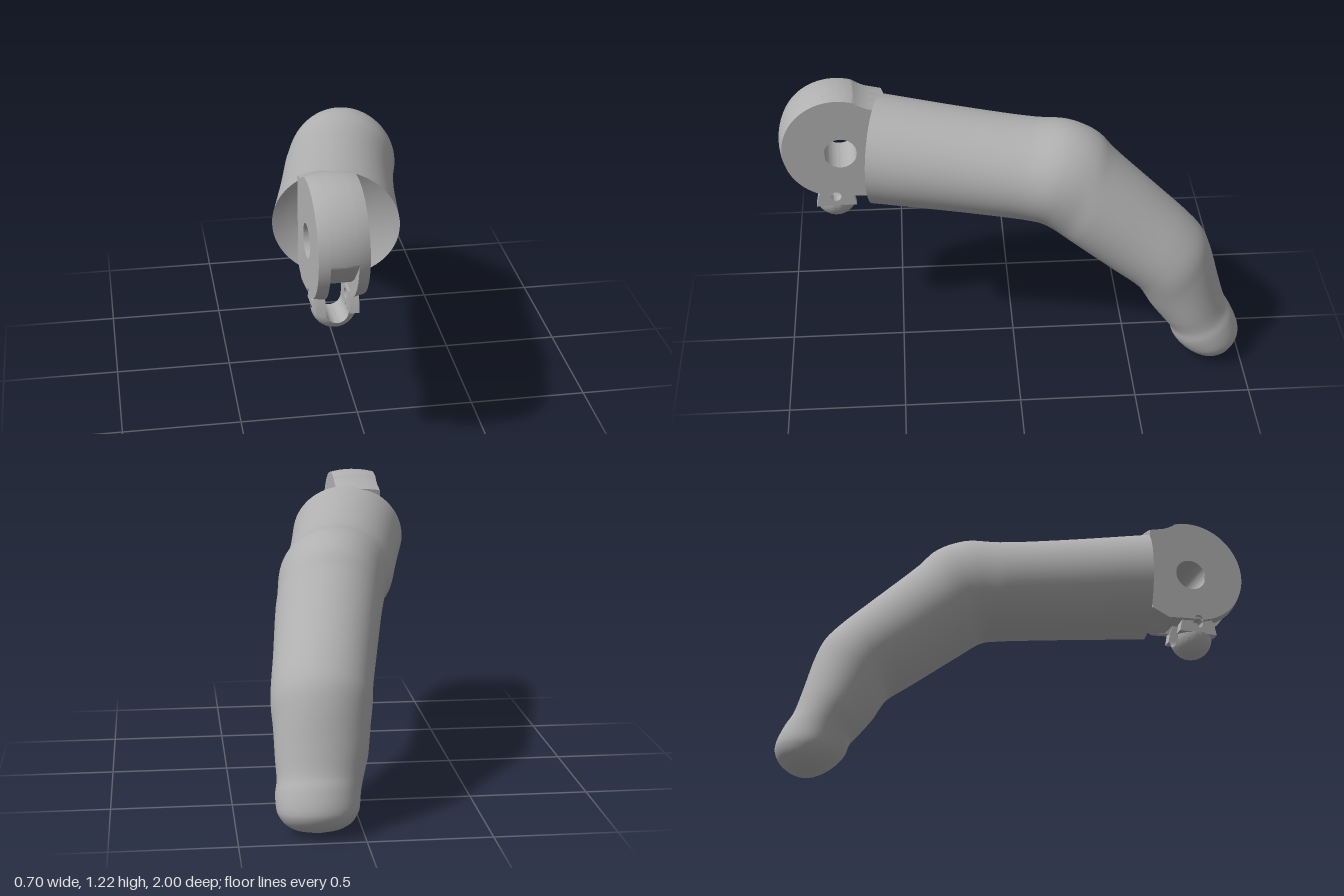
import * as THREE from 'three';
import { toCreasedNormals } from 'three/addons/utils/BufferGeometryUtils.js';

const SEG = 64;

// Surface through rings of points; every ring has SEG points
function loft(rings) {
  const pos = rings.flat().flatMap((p) => [p.x, p.y, p.z]);
  const index = [];
  for (let r = 0; r < rings.length - 1; r++) {
    for (let i = 0; i < SEG; i++) {
      const j = (i + 1) % SEG, a = r * SEG, b = a + SEG;
      index.push(a + i, a + j, b + j, a + i, b + j, b + i);
    }
  }
  const g = new THREE.BufferGeometry();
  g.setAttribute('position', new THREE.Float32BufferAttribute(pos, 3));
  g.setIndex(index);
  g.computeVertexNormals();
  return g;
}

// Ellipse between a top and a bottom point, w = (centre x, half width, yaw shear)
function ring(top, bottom, w, scale = 1, push = 0) {
  const mid = top.clone().add(bottom).multiplyScalar(0.5);
  const up = top.clone().sub(mid);
  return Array.from({ length: SEG }, (_, i) => {
    const a = (i / SEG) * Math.PI * 2;
    const c = Math.cos(a) * scale, dx = Math.sin(a) * w.y * scale;
    return new THREE.Vector3(w.x + dx, mid.y + up.y * c, mid.z + up.z * c + w.z * dx + push);
  });
}

// Side profile (z, y) extruded across x, centred on x
function sidePlate(shape, width, x, barrel) {
  const g = new THREE.ExtrudeGeometry(shape, { depth: width, steps: 4, bevelEnabled: false, curveSegments: 40 });
  g.rotateY(-Math.PI / 2).translate(x + width / 2, 0, 0);
  if (barrel) {
    // Slightly crowned rim
    const p = g.attributes.position;
    for (let i = 0; i < p.count; i++) {
      const y = p.getY(i) - 0.98, z = p.getZ(i);
      if (Math.hypot(y, z) < 0.2) continue;
      const k = 1 - 0.05 * (p.getX(i) / 0.1) ** 2;
      p.setY(i, 0.98 + y * k);
      p.setZ(i, z * k);
    }
  }
  return toCreasedNormals(g, 0.6);
}

const hole = (x, y, r) => new THREE.Path().absarc(x, y, r, 0, Math.PI * 2, true);

export function createModel() {
  const model = new THREE.Group();
  const grey = new THREE.MeshStandardMaterial({ color: 0xb0b0b0 });
  grey.name = 'plain grey';
  const add = (parent, name, geometry) => {
    const m = new THREE.Mesh(geometry, grey);
    m.name = name;
    parent.add(m);
    return m;
  };

  // Bent finger: top z, top y, bottom z, bottom y, centre x, half width, yaw
  const sections = [
    [0.58, 1.175, 0.58, 0.715, -0.105, 0.25, 0.2],
    [0.2, 1.13, 0.2, 0.69, -0.04, 0.235, 0.18],
    [-0.08, 1.105, -0.05, 0.675, 0.01, 0.232, 0.17],
    [-0.22, 1.11, -0.12, 0.67, 0.04, 0.23, 0.15],
    [-0.3, 1.09, -0.16, 0.65, 0.055, 0.225, 0.14],
    [-0.37, 1.05, -0.2, 0.62, 0.065, 0.222, 0.13],
    [-0.43, 0.985, -0.25, 0.585, 0.08, 0.22, 0.12],
    [-0.62, 0.81, -0.42, 0.46, 0.115, 0.21, 0.1],
    [-0.76, 0.68, -0.53, 0.38, 0.14, 0.205, 0.08],
    [-0.82, 0.61, -0.56, 0.335, 0.145, 0.203, 0.06],
    [-0.855, 0.53, -0.59, 0.28, 0.148, 0.195, 0.05],
    [-0.9, 0.37, -0.65, 0.2, 0.155, 0.185, 0.04],
    [-0.935, 0.26, -0.685, 0.155, 0.165, 0.172, 0.03],
    [-0.965, 0.21, -0.7, 0.11, 0.175, 0.17, 0.02],
    [-0.998, 0.12, -0.73, 0.07, 0.178, 0.163, 0],
    [-0.985, 0.075, -0.78, 0.03, 0.178, 0.135, 0],
    [-0.95, 0.04, -0.83, 0.008, 0.178, 0.085, 0],
    [-0.89, 0.01, -0.89, 0.01, 0.178, 0.0005, 0],
  ];
  const curve = (f) => new THREE.CatmullRomCurve3(sections.map(f));
  const tops = curve((s) => new THREE.Vector3(0, s[1], s[0]));
  const bottoms = curve((s) => new THREE.Vector3(0, s[3], s[2]));
  const widths = curve((s) => new THREE.Vector3(s[4], s[5], s[6]));
  const rings = [];
  const steps = (sections.length - 1) * 4;
  for (let i = 0; i <= steps; i++) {
    const t = i / steps;
    rings.push(ring(tops.getPoint(t), bottoms.getPoint(t), widths.getPoint(t)));
  }
  add(model, 'finger', loft(rings));

  // Shallow cupped end of the finger
  const cup = [0.001, 0.25, 0.5, 0.75, 0.9, 1].map((k) =>
    ring(tops.getPoint(0), bottoms.getPoint(0), widths.getPoint(0), k, -0.06 * (1 - k * k)));
  add(model, 'fingerEnd', loft(cup));

  // Hinge tab, slightly turned
  const hinge = new THREE.Group();
  hinge.name = 'hinge';
  hinge.position.set(-0.146, 0, 0.75);
  hinge.rotation.y = 0.045;
  model.add(hinge);

  const closeTop = (s) => {
    s.quadraticCurveTo(-0.105, 1.197, -0.14, 1.183);
    s.lineTo(-0.21, 1.165);
    s.closePath();
    s.holes.push(hole(-0.01, 0.96, 0.07));
    return s;
  };
  const cheek = new THREE.Shape();
  cheek.moveTo(-0.21, 0.76);
  cheek.lineTo(-0.13, 0.722);
  cheek.lineTo(-0.002, 0.732);
  cheek.absarc(0.02, 0.732, 0.022, Math.PI, 0, true);
  cheek.absarc(0, 0.98, 0.25, -1.4, 1.9, false);
  closeTop(cheek);

  // Middle layer leaves a cord slot open at the front and below
  const core = new THREE.Shape();
  core.moveTo(-0.21, 0.76);
  core.lineTo(-0.13, 0.722);
  core.lineTo(-0.08, 0.73);
  core.lineTo(-0.05, 0.765);
  core.quadraticCurveTo(0.13, 0.8, 0.249, 0.96);
  core.absarc(0, 0.98, 0.25, -0.08, 1.9, false);
  closeTop(core);
  add(hinge, 'hingeCore', sidePlate(core, 0.11, 0, true));

  // Cord eyelet arms with a cross hole
  const arm = new THREE.Shape();
  arm.moveTo(-0.067, 0.685);
  arm.lineTo(0.107, 0.685);
  arm.lineTo(0.097, 0.735);
  arm.lineTo(0.08, 0.77);
  arm.lineTo(-0.04, 0.77);
  arm.lineTo(-0.057, 0.735);
  arm.closePath();
  arm.holes.push(hole(0.02, 0.732, 0.022));

  for (const side of [-1, 1]) {
    add(hinge, 'hingeCheek', sidePlate(cheek, 0.045, side * 0.0775, true));
    add(hinge, 'eyeletArm', sidePlate(arm, 0.04, side * 0.067, false));
  }

  // Rounded lower half of the eyelet, pierced front to back
  const R = 0.092, r0 = 0.045, a0 = Math.acos(r0 / R);
  const profile = [];
  for (let i = 0; i <= 24; i++) {
    const a = -a0 + (2 * a0 * i) / 24;
    profile.push(new THREE.Vector2(R * Math.cos(a), R * Math.sin(a)));
  }
  profile.push(profile[0].clone());
  const bowl = new THREE.LatheGeometry(profile, 40, -Math.PI / 2, Math.PI);
  bowl.rotateX(Math.PI / 2);
  add(hinge, 'eyeletBowl', toCreasedNormals(bowl, 0.6)).position.set(0, 0.69, 0.02);

  return model;
}
